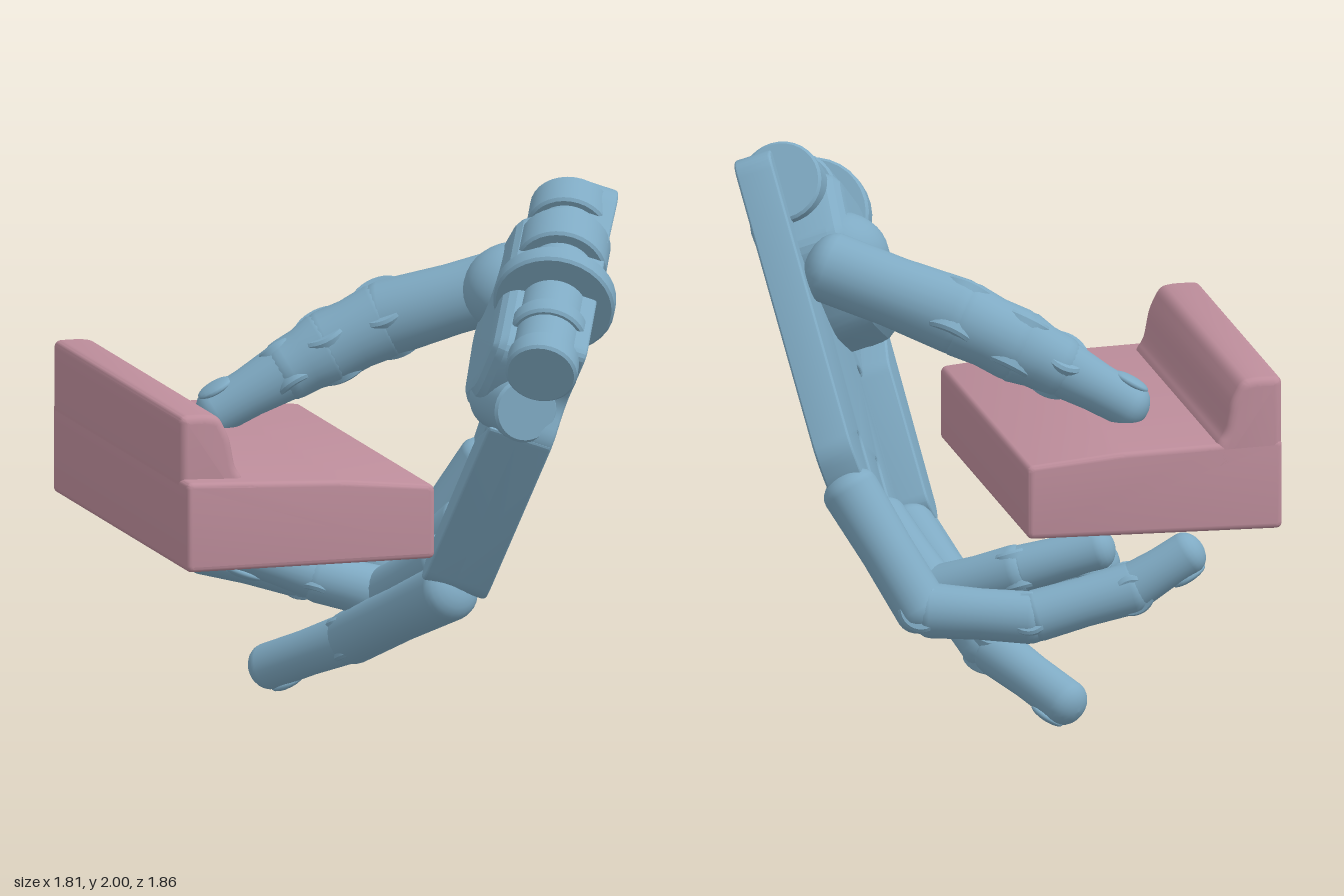
import * as THREE from 'three';
import { toCreasedNormals } from 'three/addons/utils/BufferGeometryUtils.js';

const V = (x, y, z) => new THREE.Vector3(x, y, z);
const UP = V(0, 1, 0);

// Sheared frame of the back of the hand: s runs to the back, t runs up, d goes outward
const N = V(1, -0.356, 0.259).normalize();
const FRAME = new THREE.Matrix4()
  .makeBasis(V(0.259, 0, -1), V(0.356, 1, 0), N)
  .setPosition(0.255, 0, 0);
const onPlate = (s, t, depth) => V(s, t, -depth).applyMatrix4(FRAME);

// Polygon with softened corners
function roundedShape(pts, r) {
  const shape = new THREE.Shape();
  const p = pts.map(([x, y]) => new THREE.Vector2(x, y));
  p.forEach((c, i) => {
    const toward = q => c.clone().lerp(q, Math.min(0.45, r / c.distanceTo(q)));
    const a = toward(p[(i + p.length - 1) % p.length]);
    const b = toward(p[(i + 1) % p.length]);
    if (i === 0) shape.moveTo(a.x, a.y); else shape.lineTo(a.x, a.y);
    shape.quadraticCurveTo(c.x, c.y, b.x, b.y);
  });
  shape.closePath();
  return shape;
}

function slab(pts, r, depth, bevel) {
  const g = new THREE.ExtrudeGeometry(roundedShape(pts, r), {
    depth: depth - 2 * bevel, curveSegments: 5,
    bevelThickness: bevel, bevelSize: bevel, bevelOffset: -bevel, bevelSegments: 4,
  });
  return g.translate(0, 0, bevel);
}

export function createModel() {
  const root = new THREE.Group();
  const blue = new THREE.MeshStandardMaterial({ color: 0x7faac3 });
  const pink = new THREE.MeshStandardMaterial({ color: 0xbd8d9b });

  function add(name, geometry, material = blue, parent = root) {
    const mesh = new THREE.Mesh(geometry, material);
    mesh.name = name;
    parent.add(mesh);
    return mesh;
  }
  const between = (mesh, a, b) => {
    mesh.position.copy(a).lerp(b, 0.5);
    mesh.quaternion.setFromUnitVectors(UP, b.clone().sub(a).normalize());
    return mesh;
  };
  // Cylinder with narrow chamfered rims
  const rod = (name, a, b, r, parent) => {
    const h = a.distanceTo(b) / 2, c = 0.01;
    const profile = [[0, -h], [r - c, -h], [r, -h + c], [r, h - c], [r - c, h], [0, h]]
      .map(q => new THREE.Vector2(...q));
    return between(add(name, toCreasedNormals(new THREE.LatheGeometry(profile, 32), 0.5), blue, parent), a, b);
  };

  // Tapered phalanx with rounded ends and a slight waist
  function phalanx(name, a, b, ra, rb, parent) {
    const h = a.distanceTo(b) / 2, profile = [];
    for (let i = 0; i <= 6; i++) {
      const t = i / 6 * Math.PI / 2;
      profile.push(new THREE.Vector2(ra * Math.sin(t), -h - ra * 0.7 * Math.cos(t)));
    }
    profile.push(new THREE.Vector2((ra + rb) / 2 * 0.95, 0));
    for (let i = 0; i <= 6; i++) {
      const t = i / 6 * Math.PI / 2;
      profile.push(new THREE.Vector2(rb * Math.cos(t), h + rb * 0.8 * Math.sin(t)));
    }
    return between(add(name, new THREE.LatheGeometry(profile, 24), blue, parent), a, b);
  }

  // Finger: phalanges, hinge pins across the bends, nail on the outer side
  function finger(name, points, radii, nailSide) {
    const g = new THREE.Group();
    g.name = name;
    root.add(g);
    const p = points.map(q => V(...q));
    for (let i = 0; i < p.length - 1; i++) {
      const dir = p[i + 1].clone().sub(p[i]).normalize();
      const a = p[i].clone().addScaledVector(dir, 0.03);
      const last = i === p.length - 2;
      phalanx(last ? 'fingertip' : 'phalanx', a, p[i + 1], last ? radii[i] * 0.92 : radii[i], radii[i + 1], g);
      if (i > 0) {
        const axis = p[i].clone().sub(p[i - 1]).cross(dir).normalize();
        const w = radii[i] * 0.75;
        rod('hinge', p[i].clone().addScaledVector(axis, -w), p[i].clone().addScaledVector(axis, w), radii[i] * 0.85, g);
      }
      if (last) {
        const out = V(...nailSide);
        out.addScaledVector(dir, -out.dot(dir)).normalize();
        const nail = add('nail', new THREE.SphereGeometry(1, 16, 10), blue, g);
        nail.scale.set(radii[i] * 0.55, 0.07, 0.02);
        nail.position.copy(p[i + 1]).addScaledVector(out, radii[i + 1] * 0.92).addScaledVector(dir, -0.04);
        nail.quaternion.setFromRotationMatrix(
          new THREE.Matrix4().makeBasis(dir.clone().cross(out), dir, out));
      }
    }
  }

  // Held block: sloping slab with a raised lip along one side
  const base = slab([[-0.9, 0.74], [0.035, 0.74], [0.035, 1.01], [-0.3, 1.045], [-0.65, 1.06], [-0.9, 1.07]], 0.025, 1.62, 0.02);
  add('block', toCreasedNormals(base.translate(0, 0, -0.91), 0.5), pink);
  const lip = slab([[-0.9, 0.95], [-0.64, 0.95], [-0.66, 1.06], [-0.69, 1.1], [-0.71, 1.21], [-0.75, 1.29], [-0.8, 1.3], [-0.9, 1.3]], 0.03, 1.54, 0.03);
  add('blockLip', toCreasedNormals(lip.translate(0, 0, -0.91), 0.5), pink);

  // Back of the hand, with a tongue over each finger root
  const plate = [
    [-0.2, 1.93], [-0.1, 1.93], [0.5, 0.98], [0.49, 0.85], [0.43, 0.77], [0.36, 0.78],
    [0.23, 0.97], [0.18, 0.95], [0.32, 0.7], [0.26, 0.58], [0.16, 0.6], [0.02, 0.82], [-0.03, 0.8],
    [0.1, 0.6], [0.04, 0.52], [-0.08, 0.53], [-0.39, 0.98], [-0.34, 1.08], [-0.45, 1.03],
    [-0.42, 0.96], [-0.17, 0.57], [-0.22, 0.48], [-0.32, 0.5],
    [-0.76, 1.14], [-0.73, 1.27], [-0.88, 1.48], [-0.62, 1.63], [-0.35, 1.8],
  ];
  const onHand = (name, pts, r, depth, bevel) =>
    add(name, toCreasedNormals(slab(pts, r, depth, bevel).translate(0, 0, -depth).applyMatrix4(FRAME), 0.3));
  onHand('handBack', plate, 0.05, 0.14, 0.012);
  onHand('indexHousing', [[-0.76, 1.14], [-0.45, 1.03], [-0.17, 0.57], [-0.22, 0.48], [-0.32, 0.5]], 0.04, 0.24, 0.012);
  onHand('palmPad', [[-0.84, 1.42], [-0.25, 1.8], [0.04, 1.6], [-0.08, 1.25], [-0.4, 1.1], [-0.7, 1.2]], 0.08, 0.33, 0.08);

  // Wrist hinge along the upper edge: core, lugs and one large disc
  const A = onPlate(-0.16, 1.8, 0.14), B = onPlate(-0.85, 1.4, 0.14);
  const at = f => A.clone().lerp(B, f);
  rod('wristCore', at(0), at(1), 0.12);
  [[-0.06, 0.1, 0.15], [0.17, 0.35, 0.165], [0.51, 0.6, 0.22], [0.74, 0.83, 0.14], [0.95, 1.06, 0.13]]
    .forEach(([f0, f1, r]) => rod(r > 0.2 ? 'wristDisc' : 'wristLug', at(f0), at(f1), r));

  // Thumb root and heel of the palm
  const thumbRoot = add('thumbRoot', new THREE.SphereGeometry(1, 28, 18));
  thumbRoot.position.set(0.54, 1.58, 0.06);
  thumbRoot.scale.set(0.19, 0.17, 0.17);
  rod('palmHeel', V(0.36, 1.27, 0.45), V(0.37, 1.27, 0.74), 0.12);

  finger('thumb', [[0.62, 1.59, -0.07], [0.17, 1.43, -0.29], [-0.03, 1.33, -0.34], [-0.18, 1.25, -0.36], [-0.44, 1.1, -0.41]],
    [0.13, 0.14, 0.135, 0.115, 0.085], [-0.4, 1, 0]);
  finger('indexFinger', [[0.25, 0.53, 0.24], [0.08, 0.24, -0.43], [-0.14, 0.09, -0.73]],
    [0.11, 0.1, 0.085], [0.5, -1, 0]);
  finger('middleFinger', [[0.3, 0.6, 0.02], [0.18, 0.4, -0.36], [-0.03, 0.46, -0.46], [-0.31, 0.56, -0.54]],
    [0.1, 0.1, 0.095, 0.08], [-0.4, -1, 0]);
  finger('ringFinger', [[0.45, 0.69, -0.2], [0.29, 0.45, -0.46], [0.02, 0.56, -0.62], [-0.26, 0.65, -0.71]],
    [0.1, 0.1, 0.095, 0.08], [-0.4, -1, 0]);
  finger('littleFinger', [[0.61, 0.87, -0.46], [0.37, 0.44, -0.66], [0.0, 0.42, -0.77], [-0.36, 0.52, -0.81], [-0.56, 0.65, -0.85]],
    [0.105, 0.1, 0.095, 0.095, 0.08], [-0.5, -1, 0]);

  return root;
}
